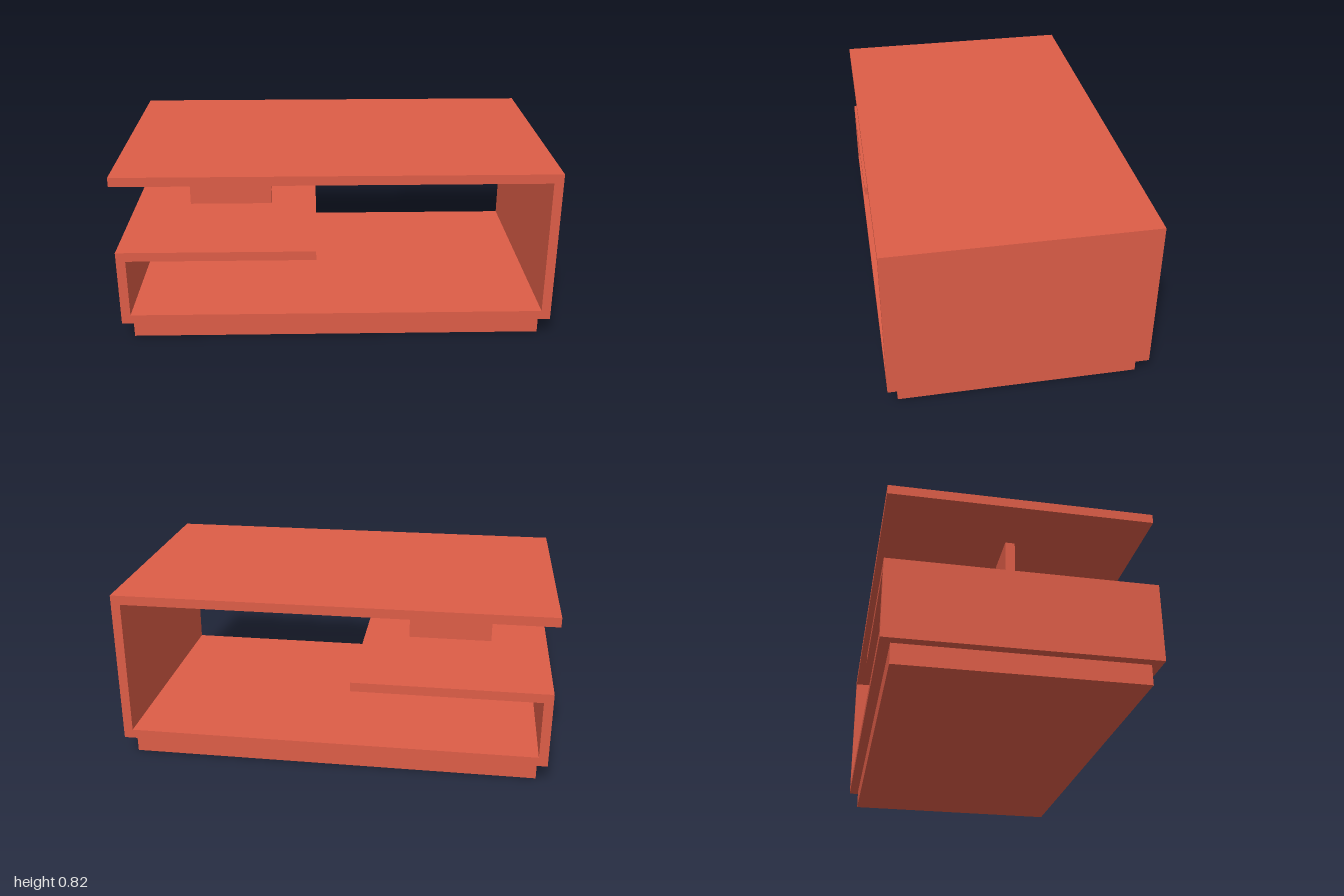
import * as THREE from 'three';

const W = 1, D = 0.59, T = 0.043;            // half width, half depth, board thickness
const BASE = 0.093, SHELF = 0.456, TOP = 0.819; // plinth height, upper faces of shelf and top
const SHELF_END = -0.094;

export function createModel() {
  const group = new THREE.Group();
  const material = new THREE.MeshStandardMaterial({ color: 0xdd5d47 });

  const add = (name, geometry) => {
    const mesh = new THREE.Mesh(geometry, material);
    mesh.name = name;
    group.add(mesh);
  };
  const addBox = (name, x0, x1, y0, y1, halfDepth) => {
    const geometry = new THREE.BoxGeometry(x1 - x0, y1 - y0, halfDepth * 2);
    add(name, geometry.translate((x0 + x1) / 2, (y0 + y1) / 2, 0));
  };

  // Continuous folded board: shelf, short side, floor, tall side, table top
  const profile = new THREE.Shape([
    [-W, BASE], [W, BASE], [W, TOP], [-W, TOP], [-W, TOP - T],
    [W - T, TOP - T], [W - T, BASE + T], [-W + T, BASE + T],
    [-W + T, SHELF - T], [SHELF_END, SHELF - T], [SHELF_END, SHELF], [-W, SHELF],
  ].map(([x, y]) => new THREE.Vector2(x, y)));
  const board = new THREE.ExtrudeGeometry(profile, { depth: D * 2, bevelEnabled: false });
  add('foldedBoard', board.translate(0, 0, -D));

  // Recessed plinth
  addBox('plinth', -W + T + 0.002, W - T - 0.002, 0, BASE, D - 0.045);

  // Thin upright support, below and above the shelf
  addBox('lowerSupport', -0.727, -0.318, BASE + T, SHELF - T, 0.022);
  addBox('upperSupport', -0.727, -0.318, SHELF, TOP - T, 0.022);

  return group;
}
